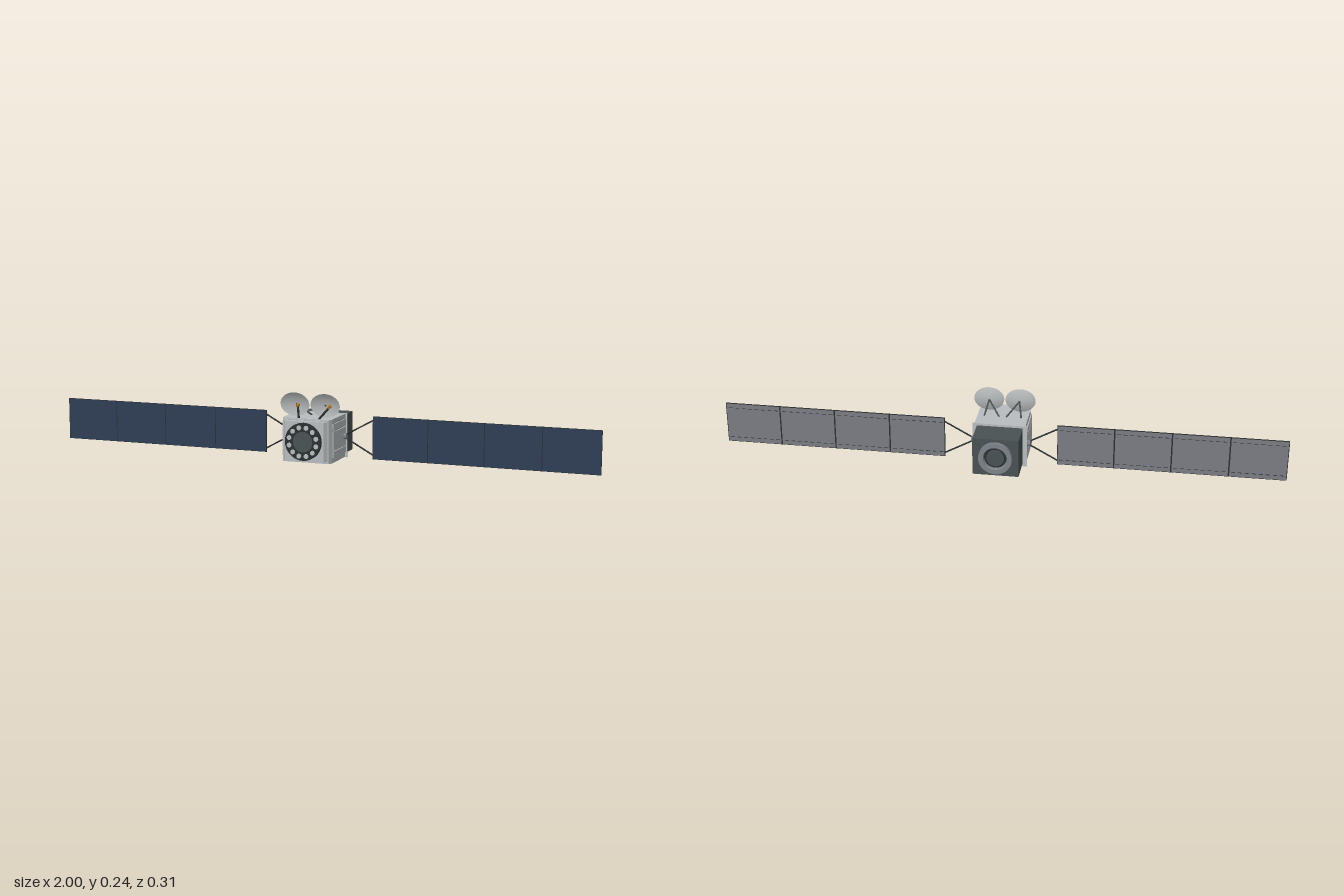
import * as THREE from 'three';

const mat = (name, color, side = THREE.FrontSide) => {
  const m = new THREE.MeshStandardMaterial({ color, side });
  m.name = name;
  return m;
};

export function createModel() {
  const root = new THREE.Group();
  root.name = 'satellite';
  const hull = mat('hullGrey', 0xb9bdbf);
  const slate = mat('slate', 0x495254);
  const dark = mat('darkMetal', 0x2b3032);
  const cell = mat('solarBlue', 0x2f3f55);
  const backing = mat('panelBack', 0x7b7c83);
  const steel = mat('steel', 0x7d828a, THREE.DoubleSide);
  const dishGrey = mat('dishGrey', 0xb0b3b3, THREE.DoubleSide);
  const copper = mat('copper', 0xb07a35);
  const CY = 0.08, PZ = -0.012;

  const add = (name, geo, material, x = 0, y = 0, z = 0, parent = root) => {
    const m = new THREE.Mesh(geo, material);
    m.name = name;
    m.position.set(x, y, z);
    parent.add(m);
    return m;
  };
  // box given by its lower and upper corners
  const box = (name, material, a, b, parent) => add(name,
    new THREE.BoxGeometry(b[0] - a[0], b[1] - a[1], b[2] - a[2]), material,
    (a[0] + b[0]) / 2, (a[1] + b[1]) / 2, (a[2] + b[2]) / 2, parent);
  // mirrored [x, z] outline raised from y0 to y1
  const plan = (name, material, half, y0, y1) => {
    const pts = [...half, ...half.map(([x, z]) => [-x, z]).reverse()];
    const shape = new THREE.Shape(pts.map(([x, z]) => new THREE.Vector2(x, -z)));
    const geo = new THREE.ExtrudeGeometry(shape, { depth: y1 - y0, bevelEnabled: false });
    return add(name, geo.rotateX(-Math.PI / 2), material, 0, y0, 0);
  };
  // disc along z
  const disc = (name, material, r, z0, z1, x = 0, y = CY, n = 32) => add(name,
    new THREE.CylinderGeometry(r, r, z1 - z0, n).rotateX(Math.PI / 2), material, x, y, (z0 + z1) / 2);
  // round bar between two points
  const bar = (name, material, a, b, r, r2 = r) => {
    const p = new THREE.Vector3(...a), q = new THREE.Vector3(...b);
    const d = q.clone().sub(p);
    const m = add(name, new THREE.CylinderGeometry(r2, r, d.length(), 10), material);
    m.position.copy(p).add(q).multiplyScalar(0.5);
    m.quaternion.setFromUnitVectors(new THREE.Vector3(0, 1, 0), d.normalize());
    return m;
  };

  // hull
  plan('body', hull, [[0.09, -0.036], [0.09, 0.1], [0.086, 0.116]], 0.002, 0.156);
  plan('frontFlange', hull, [[0.086, 0.115], [0.084, 0.123]], 0.005, 0.154);
  plan('neck', hull, [[0.081, 0.122], [0.072, 0.139]], 0.011, 0.15);
  box('rearFlange', hull, [-0.097, 0, -0.04], [0.097, 0.157, -0.034]);
  box('rearModule', slate, [-0.081, 0.01, -0.139], [0.081, 0.149, -0.038]);

  // front docking ring with studs
  disc('frontRing', dark, 0.066, 0.138, 0.15);
  disc('frontCore', slate, 0.036, 0.149, 0.1515);
  for (let i = 0; i < 12; i++) {
    const a = (i + 0.5) * Math.PI / 6;
    disc('ringStud', hull, 0.0085, 0.149, 0.154, 0.051 * Math.cos(a), CY + 0.051 * Math.sin(a), 12);
  }

  // rear nozzle
  const tube = [[0.059, 0], [0.059, 0.013], [0.042, 0.013], [0.039, 0.002]];
  for (let i = 0; i < 3; i++) {
    const pair = [tube[i], tube[i + 1]].map(p => new THREE.Vector2(...p));
    add('rearNozzle', new THREE.LatheGeometry(pair, 36).rotateX(-Math.PI / 2), steel, 0, CY, -0.139);
  }
  disc('nozzleRecess', dark, 0.041, -0.141, -0.138);
  disc('nozzleCore', slate, 0.031, -0.146, -0.14);

  for (const s of [-1, 1]) {
    const span = (name, material, x0, x1, y0, y1, z0, z1) =>
      box(name, material, [Math.min(s * x0, s * x1), y0, z0], [Math.max(s * x0, s * x1), y1, z1]);

    // ribbed side of the hull
    span('sideBacking', backing, 0.088, 0.0905, 0.018, 0.142, -0.03, 0.1);
    for (const [y0, y1] of [[0.02, 0.043], [0.046, 0.113], [0.117, 0.14]])
      span('sidePlate', hull, 0.089, 0.095, y0, y1, -0.03, 0.099);

    // hinge and yoke of the solar wing
    add('wingHub', new THREE.CylinderGeometry(0.011, 0.011, 0.018, 16).rotateZ(Math.PI / 2),
      steel, s * 0.096, CY, PZ);
    for (const v of [-1, 1])
      bar('yokeArm', dark, [s * 0.1, CY + v * 0.006, PZ], [s * 0.202, CY + v * 0.062, PZ], 0.0028);

    // solar wing of four panels
    span('wingFrame', dark, 0.2, 1, 0.004, 0.156, PZ - 0.0018, PZ + 0.0018);
    for (let i = 0; i < 4; i++) {
      const x0 = 0.2 + i * 0.2 + 0.0015, x1 = x0 + 0.197;
      span('solarCells', cell, x0, x1, 0.0055, 0.1545, PZ + 0.0015, PZ + 0.0026);
      span('panelBack', backing, x0 + 0.001, x1 - 0.001, 0.006, 0.154, PZ - 0.0026, PZ - 0.0015);
      for (let k = 0; k < 8; k++)
        for (const y of [0.022, 0.138])
          span('backDash', dark, x0 + 0.006 + k * 0.024, x0 + 0.02 + k * 0.024,
            y - 0.001, y + 0.001, PZ - 0.0032, PZ - 0.002);
    }

    // dish antenna and its rear legs
    const curve = [];
    for (let i = 0; i <= 8; i++) curve.push(new THREE.Vector2(i / 8, 0.011 * (i / 8) ** 2));
    const dish = add('dish', new THREE.LatheGeometry(curve, 36).rotateX(Math.PI / 2),
      dishGrey, s * 0.056, 0.2, 0.068);
    dish.scale.set(0.054, 0.042, 1);
    dish.rotation.x = 0.11;
    for (const x of [0.012, 0.066])
      bar('dishLeg', slate, [s * 0.054, 0.2, 0.068], [s * x, 0.155, 0.026], 0.003);
  }

  // feed posts with horns
  for (const [x0, x1] of [[-0.031, -0.036], [0.042, 0.08]]) {
    bar('feedPost', dark, [x0, 0.154, 0.106], [x1, 0.198, 0.103], 0.0038);
    bar('feedHorn', copper, [x1, 0.198, 0.111], [x1, 0.201, 0.096], 0.0045, 0.0065);
  }
  return root;
}
